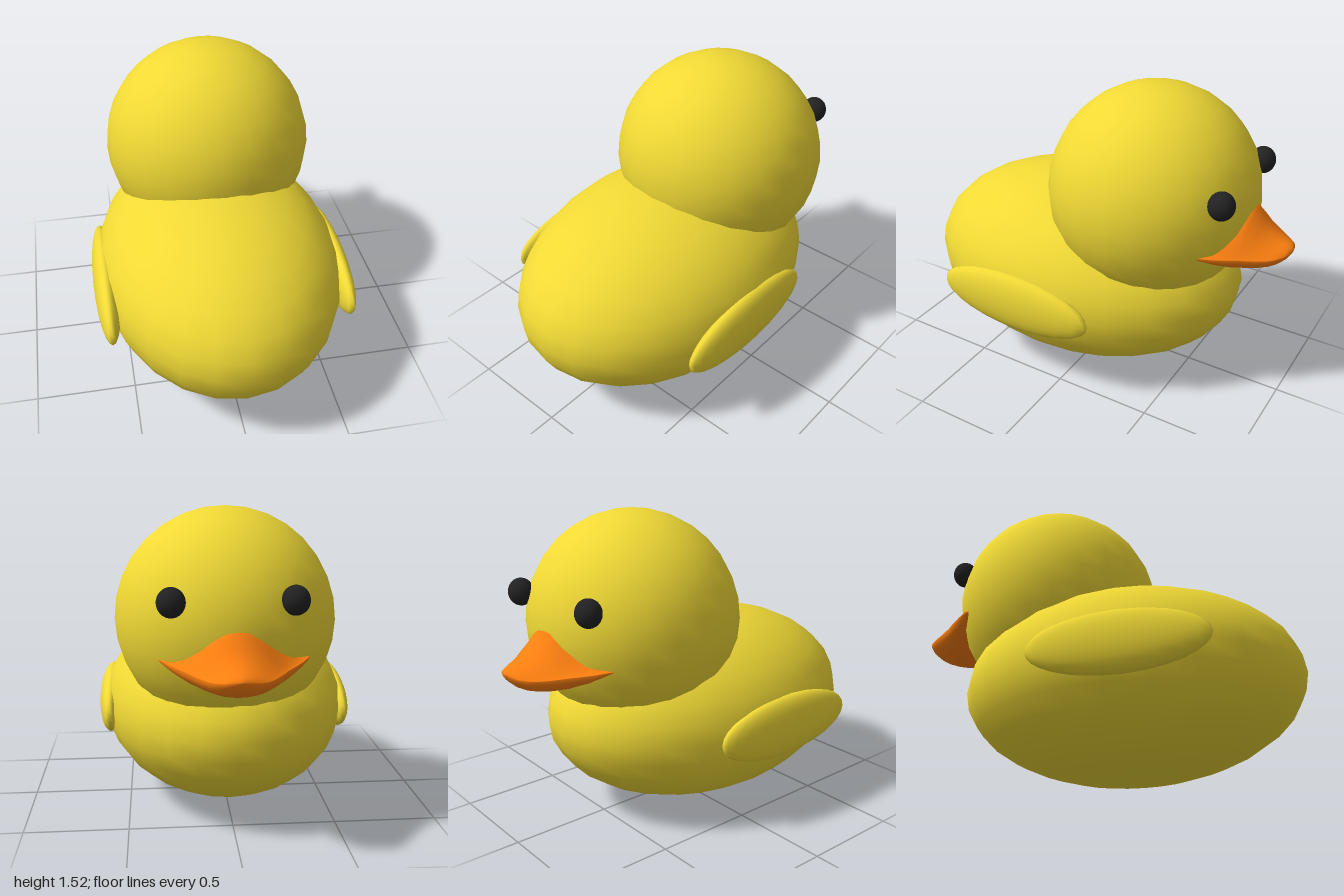
import * as THREE from 'three';

const paint = (color) => new THREE.MeshStandardMaterial({ color });
const yellow = paint(0xf0d935);
const orange = paint(0xff8010);
const black = paint(0x222222);

// Smooth sphere stretched to the given half sizes
function ellipsoid(name, [rx, ry, rz], [x, y, z], material) {
  const geometry = new THREE.SphereGeometry(1, 24, 16).scale(rx, ry, rz);
  const mesh = new THREE.Mesh(geometry, material);
  mesh.name = name;
  mesh.position.set(x, y, z);
  return mesh;
}

// Bill lofted from root to tip, with a humped top and a rounded underside
function createBill() {
  // z, half width, ridge height, mouth-line height, underside height
  const stations = [
    [-0.64, 0.34, 1.03, 0.87, 0.84],
    [-0.67, 0.335, 1.04, 0.87, 0.81],
    [-0.72, 0.30, 1.04, 0.86, 0.77],
    [-0.78, 0.25, 1.03, 0.85, 0.747],
    [-0.81, 0.222, 1.0, 0.845, 0.744],
    [-0.84, 0.2, 0.955, 0.84, 0.745],
    [-0.88, 0.17, 0.915, 0.835, 0.75],
    [-0.92, 0.14, 0.89, 0.832, 0.762],
    [-0.95, 0.112, 0.878, 0.832, 0.778],
    [-0.98, 0.075, 0.868, 0.836, 0.805],
    [-0.995, 0.036, 0.857, 0.842, 0.828],
    [-1.0, 0.001, 0.845, 0.845, 0.844],
  ];
  const sides = 32;
  const positions = [];
  const indices = [];
  stations.forEach(([z, w, top, edge, bottom], s) => {
    const ridge = 2.2 - s * 0.15;
    for (let i = 0; i < sides; i++) {
      const a = (i / sides) * Math.PI * 2;
      const sin = Math.sin(a);
      const y = sin > 0
        ? edge + (top - edge) * Math.pow(sin, 2 * Math.max(ridge, 0.75))
        : edge + (edge - bottom) * sin;
      positions.push(0.01 + w * Math.cos(a), y, z);
      if (s < stations.length - 1) {
        const p = s * sides + i;
        const q = s * sides + ((i + 1) % sides);
        indices.push(p, p + sides, q, q, p + sides, q + sides);
      }
    }
  });
  const geometry = new THREE.BufferGeometry();
  geometry.setAttribute('position', new THREE.Float32BufferAttribute(positions, 3));
  geometry.setIndex(indices);
  geometry.computeVertexNormals();
  const mesh = new THREE.Mesh(geometry, orange);
  mesh.name = 'bill';
  return mesh;
}

export function createModel() {
  const duck = new THREE.Group();
  duck.name = 'duck';

  duck.add(ellipsoid('body', [0.625, 0.483, 0.865], [0, 0.483, 0.135], yellow));
  duck.add(ellipsoid('head', [0.53, 0.53, 0.525], [0.02, 0.99, -0.275], yellow));
  duck.add(createBill());

  // Wings and eyes on both sides
  for (const [side, label] of [[1, 'left'], [-1, 'right']]) {
    duck.add(ellipsoid(label + 'Wing', [0.065, 0.155, 0.43], [side * 0.593, 0.475, 0.2], yellow));
    const eyeZ = side > 0 ? -0.742 : -0.72;
    duck.add(ellipsoid(label + 'Eye', [0.064, 0.067, 0.062], [0.02 + side * 0.27, 1.135, eyeZ], black));
  }
  return duck;
}
